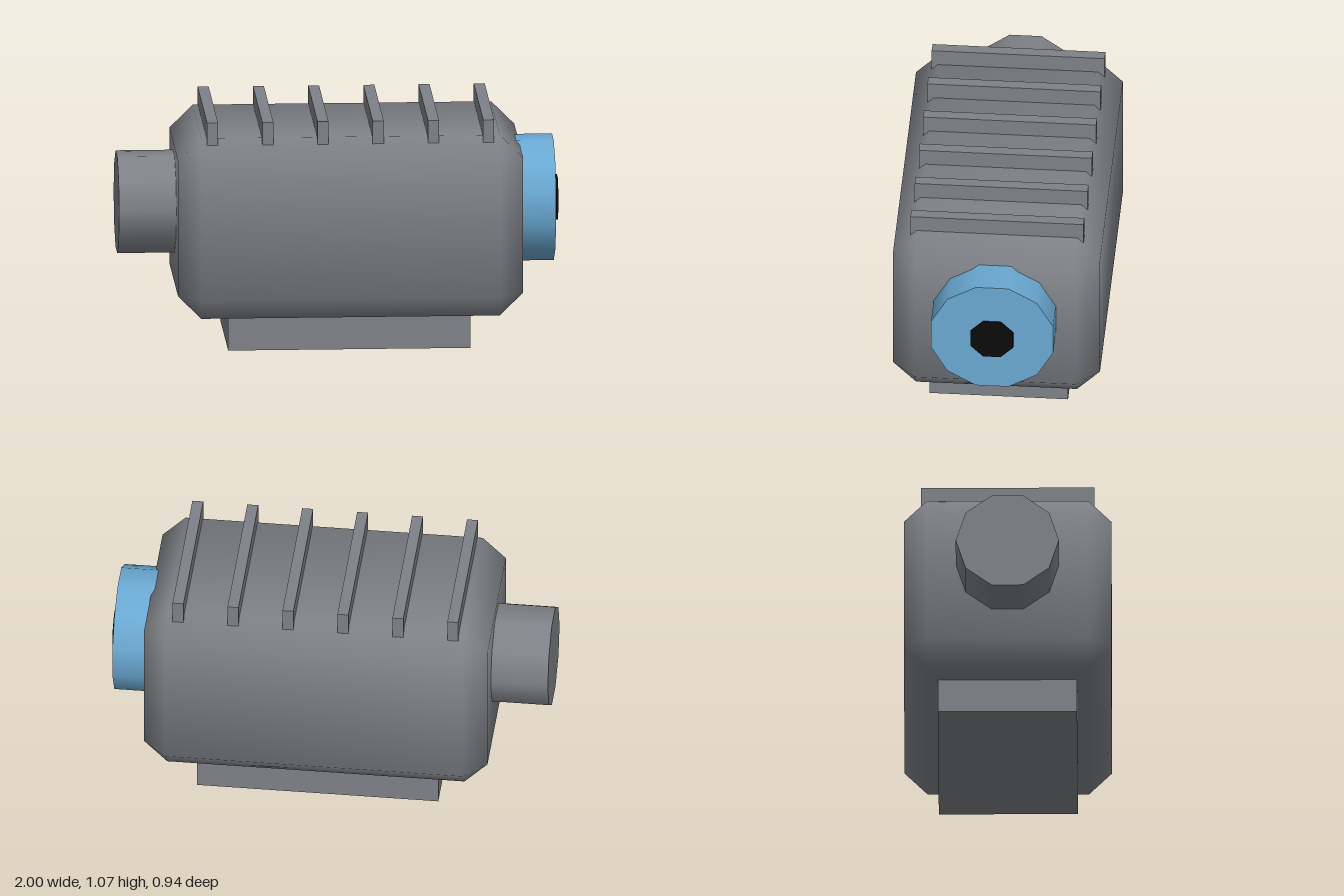
import * as THREE from 'three';
import { ConvexGeometry } from 'three/addons/geometries/ConvexGeometry.js';

// Box with every edge cut at 45 degrees and softly blended normals
function chamferedBox(w, h, d, c) {
  const half = [w / 2, h / 2, d / 2];
  const points = [];
  for (const sx of [-1, 1]) for (const sy of [-1, 1]) for (const sz of [-1, 1]) {
    const s = [sx, sy, sz];
    for (let axis = 0; axis < 3; axis++) {
      points.push(new THREE.Vector3(...half.map((v, i) => s[i] * (i === axis ? v : v - c))));
    }
  }
  const geo = new ConvexGeometry(points);
  const pos = geo.attributes.position;
  const n = new THREE.Vector3();
  for (let i = 0; i < pos.count; i++) {
    const p = [pos.getX(i), pos.getY(i), pos.getZ(i)];
    // lean each normal towards the face its corner lies on
    n.set(...p.map((v, k) => Math.sign(v) * (Math.abs(v) > half[k] - c / 2 ? 1 : 0.39))).normalize();
    geo.attributes.normal.setXYZ(i, n.x, n.y, n.z);
  }
  return geo;
}

export function createModel() {
  const model = new THREE.Group();
  model.name = 'motor';
  const material = (name, color) => {
    const m = new THREE.MeshStandardMaterial({ color });
    m.name = name;
    return m;
  };
  const grey = material('housing grey', 0x7e8187);
  const blue = material('collar blue', 0x6aa8d2);
  const black = material('bore black', 0x0a0a0a);

  function add(parent, name, geo, mat, x, y, z = 0) {
    const mesh = new THREE.Mesh(geo, mat);
    mesh.name = name;
    mesh.position.set(x, y, z);
    parent.add(mesh);
  }
  // Cylinder lying along x from x0 to x1
  function axle(name, r, x0, x1, sides, mat, turn = 0) {
    const geo = new THREE.CylinderGeometry(r, r, x1 - x0, sides, 1, false, turn);
    geo.rotateZ(-Math.PI / 2);
    add(model, name, geo, mat, (x0 + x1) / 2, 0.628);
  }

  // Housing and mounting foot
  add(model, 'housing', chamferedBox(1.565, 0.836, 0.94, 0.105), grey, 0.0425, 0.577);
  add(model, 'foot', new THREE.BoxGeometry(1.1, 0.17, 0.63), grey, 0.04, 0.085);

  // Rear stub, front collar and its dark bore
  axle('rearStub', 0.234, -1, -0.72, 10, grey);
  axle('collar', 0.287, 0.8, 0.98, 12, blue, Math.PI / 12);
  axle('bore', 0.105, 0.991, 1, 8, black, Math.PI / 8);

  // Cooling fins across the top
  const fins = new THREE.Group();
  fins.name = 'coolingFins';
  model.add(fins);
  const finGeo = new THREE.BoxGeometry(0.05, 0.105, 0.786);
  for (let i = 0; i < 6; i++) add(fins, 'fin', finGeo, grey, -0.585 + i * 0.2505, 1.0195);

  return model;
}
